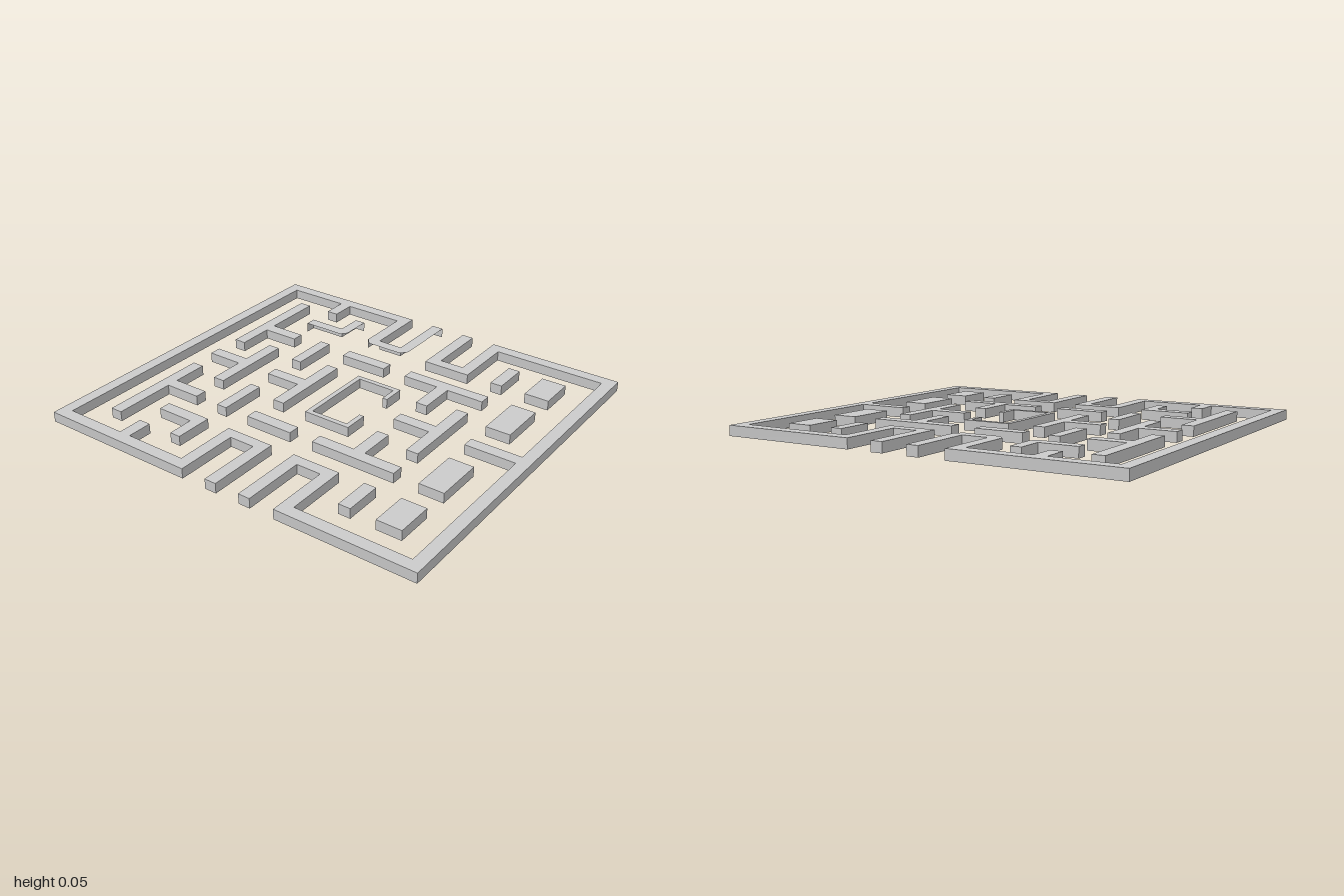
import * as THREE from 'three';
import { mergeGeometries } from 'three/addons/utils/BufferGeometryUtils.js';

const H = 0.05;
const material = new THREE.MeshStandardMaterial({ color: 0xcccccc, flatShading: true, side: THREE.DoubleSide });

// Hollow wall, open underneath: a flat cap plus one upright face per outline edge [x, z].
// Edges listed in openEdges get no upright face.
function wall(name, pts, openEdges = []) {
  const outline = pts.map(([x, z]) => new THREE.Vector2(x, -z));
  const clockwise = THREE.ShapeUtils.isClockWise(outline);
  const cap = new THREE.ShapeGeometry(new THREE.Shape(outline)).rotateX(-Math.PI / 2).translate(0, H, 0).toNonIndexed();
  cap.deleteAttribute('uv');
  const pos = [];
  pts.forEach((p, i) => {
    if (openEdges.includes(i)) return;
    const q = pts[(i + 1) % pts.length];
    const [a, b] = clockwise ? [q, p] : [p, q];
    pos.push(a[0], 0, a[1], b[0], 0, b[1], b[0], H, b[1]);
    pos.push(a[0], 0, a[1], b[0], H, b[1], a[0], H, a[1]);
  });
  const sides = new THREE.BufferGeometry();
  sides.setAttribute('position', new THREE.Float32BufferAttribute(pos, 3));
  sides.computeVertexNormals();
  const mesh = new THREE.Mesh(mergeGeometries([cap, sides]), material);
  mesh.name = name;
  return mesh;
}

const flip = pts => pts.map(([x, z]) => [x, -z]);
const mirrored = half => [...half, ...flip(half).reverse()];
const rect = (x0, x1, z0, z1) => [[x0, z0], [x1, z0], [x1, z1], [x0, z1]];

export function createModel() {
  const model = new THREE.Group();
  model.name = 'maze';
  const add = (...args) => model.add(wall(...args));
  const addPair = (name, pts) => {
    add('back' + name, pts);
    add('front' + name, flip(pts));
  };

  // Outer wall on the right, with the entrance hooks; the back hook has cut corners and open faces
  const start = [[-1, -0.905], [-0.19, -0.905], [-0.19, -0.59], [-0.06, -0.59], [-0.06, -0.905], [0, -0.905]];
  const end = [[-0.25, -0.845], [-0.565, -0.845], [-0.565, -0.72], [-0.625, -0.72], [-0.625, -0.845], [-0.94, -0.845]];
  const back = [...start, [0, -0.57], [-0.03, -0.535], [-0.22, -0.535], [-0.25, -0.57], ...end];
  const front = [...start, [0, -0.535], [-0.25, -0.535], ...end];
  add('rightOuterWall', [...back, ...flip(front).reverse()], [5, 6, 7, 8]);

  // Outer wall on the left, with hooks and middle stub
  add('leftOuterWall', mirrored([
    [0.685, -0.03], [0.94, -0.03], [0.94, -0.845], [0.37, -0.845], [0.37, -0.535], [0.125, -0.535],
    [0.125, -0.905], [0.185, -0.905], [0.185, -0.59], [0.31, -0.59], [0.31, -0.905], [1, -0.905],
  ]));

  // Corner pieces
  add('backCornerWall', [[-0.625, -0.59], [-0.435, -0.59], [-0.435, -0.72], [-0.38, -0.72],
    [-0.38, -0.565], [-0.405, -0.535], [-0.625, -0.535]], [3, 4, 5]);
  add('frontCornerWall', [[-0.625, 0.59], [-0.435, 0.59], [-0.435, 0.72], [-0.38, 0.72],
    [-0.38, 0.53], [-0.625, 0.53]]);

  // Walls repeated front and back
  addPair('SideTeeWall', [[-0.81, -0.72], [-0.75, -0.72], [-0.75, -0.405], [-0.565, -0.405],
    [-0.565, -0.345], [-0.75, -0.345], [-0.75, -0.16], [-0.81, -0.16]]);
  addPair('LongTeeWall', [[0.125, -0.405], [0.56, -0.405], [0.56, -0.345], [0.37, -0.345],
    [0.37, -0.16], [0.31, -0.16], [0.31, -0.345], [0.125, -0.345]]);
  addPair('UprightWall', rect(-0.435, -0.38, -0.405, -0.16));
  addPair('CrossWall', rect(-0.25, 0, -0.405, -0.345));
  addPair('ShortWall', rect(0.5, 0.56, -0.72, -0.535));
  addPair('SmallBlock', rect(0.685, 0.81, -0.72, -0.535));
  addPair('LargeBlock', rect(0.685, 0.81, -0.405, -0.16));

  // Sideways tees along the middle
  [[-0.81, -0.625], [-0.435, -0.25], [0.31, 0.5]].forEach(([x0, x1], i) => {
    add('middleTeeWall' + (i + 1), mirrored([[x0, -0.03], [x1, -0.03], [x1, -0.215], [x1 + 0.06, -0.215]]));
  });

  // Thin-walled central chamber, open on one side
  add('centreChamber', [
    ...[[0.16, -0.1], [0.185, -0.1], [0.185, -0.215], [-0.06, -0.215]],
    ...[[-0.06, 0.215], [0.185, 0.215], [0.185, 0.09], [0.16, 0.09]],
    ...[[0.16, 0.19], [-0.035, 0.19], [-0.035, -0.19], [0.16, -0.19]],
  ]);

  return model;
}
